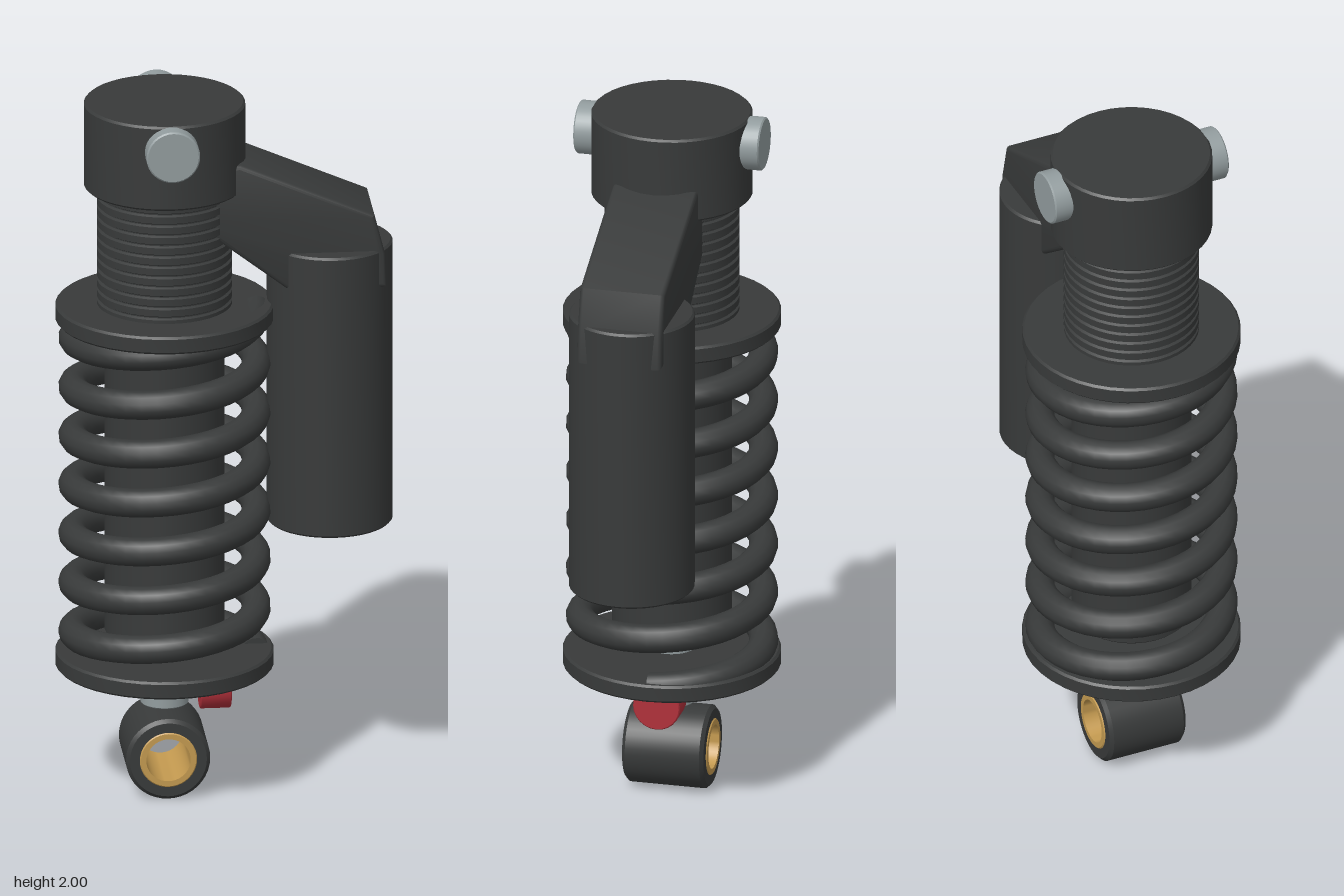
import * as THREE from 'three';
import { toCreasedNormals } from 'three/addons/utils/BufferGeometryUtils.js';

const AXIS = -0.165; // x of the main damper axis

const material = (color) => new THREE.MeshStandardMaterial({ color });
const dark = material(0x383a3a);
const steel = material(0x929c9e);
const red = material(0xb0303a);
const brass = material(0xc49a50);

// Surface of revolution about y, profile listed upwards along the outside
function turned(points, segments = 40) {
  const profile = points.map(([r, y]) => new THREE.Vector2(r, y));
  return toCreasedNormals(new THREE.LatheGeometry(profile, segments), 0.6);
}

// Solid cylinder with small chamfers
function rod(r, y0, y1, c = 0.006, segments = 40) {
  return turned([[0, y0], [r - c, y0], [r, y0 + c], [r, y1 - c], [r - c, y1], [0, y1]], segments);
}

// Hollow sleeve with chamfered rims, centred on the origin
function sleeve(inner, outer, half, c) {
  return turned([
    [inner, -half], [outer - c, -half], [outer, -half + c],
    [outer, half - c], [outer - c, half], [inner, half], [inner, -half],
  ]);
}

// Coil path, winding down from the upper seat to the lower seat
class Coil extends THREE.Curve {
  getPoint(t, target = new THREE.Vector3()) {
    const a = t * 7 * Math.PI * 2;
    return target.set(0.252 * Math.cos(a), 1.385 - 0.997 * t, 0.252 * Math.sin(a));
  }
}

export function createModel() {
  const model = new THREE.Group();
  const add = (name, geometry, mat, x = AXIS, y = 0, z = 0) => {
    const mesh = new THREE.Mesh(geometry, mat);
    mesh.name = name;
    mesh.position.set(x, y, z);
    model.add(mesh);
    return mesh;
  };

  // Top mount with a bolt on the front and back
  add('topMount', rod(0.222, 1.755, 2), dark);
  for (const side of [1, -1]) {
    const bolt = add(side > 0 ? 'frontBolt' : 'backBolt', rod(0.074, 0, 0.11, 0.004, 32), steel, AXIS, 1.925, side * 0.152);
    bolt.rotation.x = side * Math.PI / 2;
  }

  // Threaded upper body: lands separated by narrow grooves
  const thread = [[0, 1.4], [0.186, 1.4]];
  for (let y = 1.425; y < 1.75; y += 0.03) {
    thread.push([0.186, y], [0.179, y + 0.004], [0.179, y + 0.007], [0.186, y + 0.011]);
  }
  thread.push([0.186, 1.77], [0, 1.77]);
  add('threadedBody', turned(thread), dark);
  add('damperBody', rod(0.165, 0.46, 1.41), dark);
  add('shaft', rod(0.066, 0.25, 0.5, 0.003, 32), steel);

  // Spring and its two seats
  add('upperSpringSeat', rod(0.3, 1.365, 1.415), dark);
  add('lowerSpringSeat', rod(0.3, 0.36, 0.41), dark);
  const coil = new Coil();
  add('spring', new THREE.TubeGeometry(coil, 280, 0.04, 12), dark);
  for (const t of [0, 1]) {
    const p = coil.getPoint(t);
    const cap = add('springEnd', new THREE.CircleGeometry(0.04, 12), dark, AXIS + p.x, p.y, p.z);
    if (t === 0) cap.rotation.y = Math.PI;
  }

  // Lower eye and bushing, bored front to back
  add('lowerEye', sleeve(0.075, 0.116, 0.115, 0.01), dark, AXIS, 0.12).rotation.x = Math.PI / 2;
  add('bushing', sleeve(0.061, 0.08, 0.118, 0.004), brass, AXIS, 0.12).rotation.x = Math.PI / 2;

  // Rebound adjuster knob
  add('adjusterKnob', rod(0.066, -0.0425, 0.0425, 0.003, 24), red, -0.0275, 0.296).rotation.z = -Math.PI / 2;

  // Side reservoir and the bridge joining it to the body
  add('reservoir', rod(0.173, 0.77, 1.585), dark, 0.29);
  const outline = [[-0.1, 1.845], [0.035, 1.845], [0.403, 1.688], [0.432, 1.575],
    [0.437, 1.478], [0.165, 1.478], [-0.02, 1.62], [-0.1, 1.68]];
  const shape = new THREE.Shape(outline.map(([x, y]) => new THREE.Vector2(x, y)));
  const bridge = new THREE.ExtrudeGeometry(shape, {
    depth: 0.216, bevelEnabled: true, bevelThickness: 0.012,
    bevelSize: 0.012, bevelOffset: -0.012, bevelSegments: 3,
  });
  bridge.translate(0, 0, -0.108);
  add('reservoirBridge', toCreasedNormals(bridge, 0.6), dark, 0);

  return model;
}
